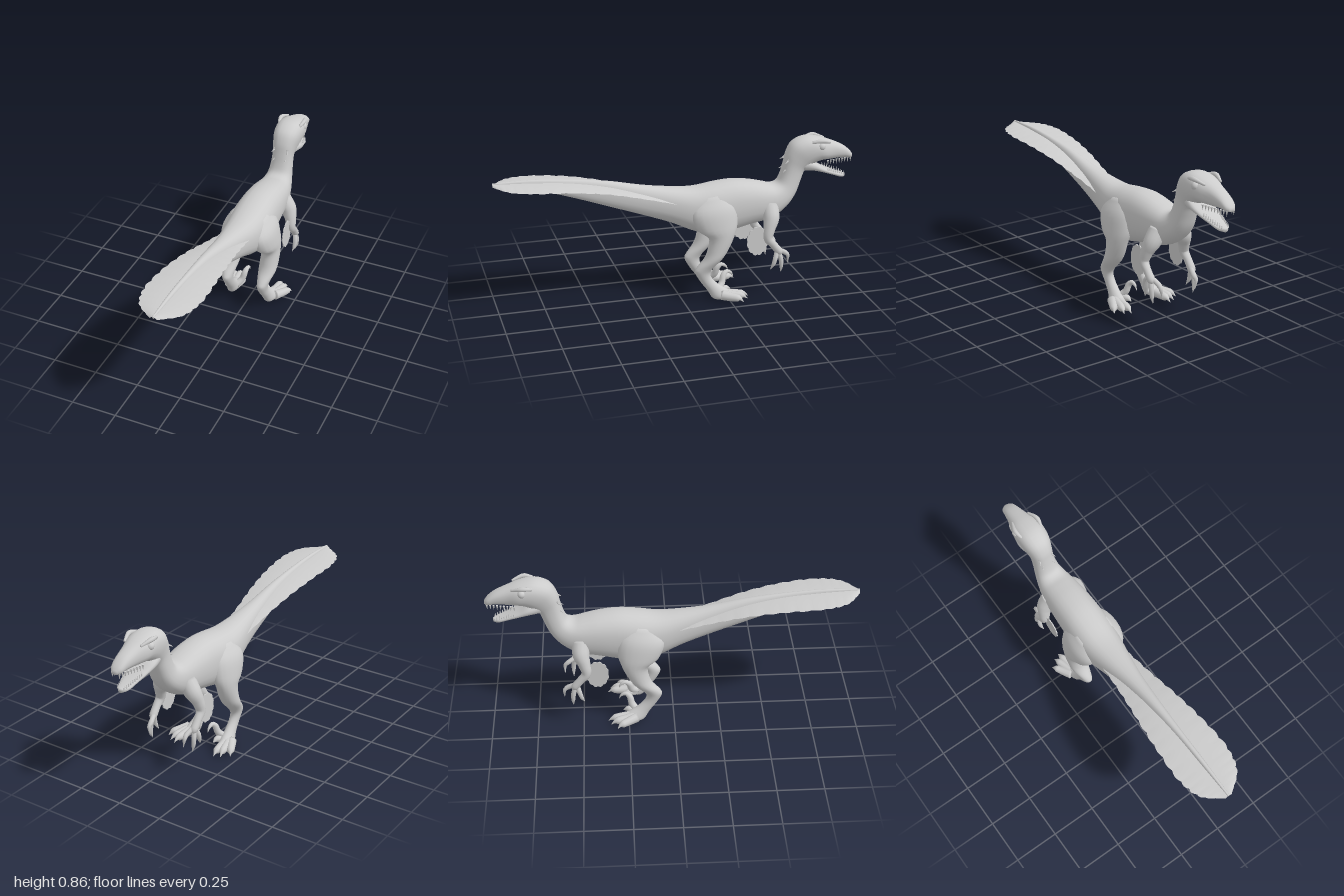
import * as THREE from 'three';

const V = (x, y, z) => new THREE.Vector3(x, y, z);
const hide = new THREE.MeshStandardMaterial({ color: 0xcccccc, side: THREE.DoubleSide });
hide.name = 'paleGreyHide';

// Closed smooth skin over a list of rings (arrays of points)
function skin(rings) {
  const n = rings[0].length, pos = [], idx = [];
  rings.forEach(r => r.forEach(p => pos.push(p.x, p.y, p.z)));
  for (let i = 0; i < rings.length - 1; i++) {
    for (let j = 0; j < n; j++) {
      const a = i * n + j, b = i * n + (j + 1) % n;
      idx.push(a, b, a + n, b, b + n, a + n);
    }
  }
  [0, rings.length - 1].forEach((i, end) => {
    const c = rings[i].reduce((s, p) => s.add(p), V(0, 0, 0)).divideScalar(n);
    const k = pos.length / 3;
    pos.push(c.x, c.y, c.z);
    for (let j = 0; j < n; j++) {
      const a = i * n + j, b = i * n + (j + 1) % n;
      if (end) idx.push(a, b, k); else idx.push(b, a, k);
    }
  });
  // Turn the faces outward when the enclosed volume comes out negative
  const at = i => V(pos[3 * i], pos[3 * i + 1], pos[3 * i + 2]);
  let volume = 0;
  for (let i = 0; i < idx.length; i += 3) volume += at(idx[i]).dot(at(idx[i + 1]).cross(at(idx[i + 2])));
  if (volume < 0) idx.reverse();
  const g = new THREE.BufferGeometry();
  g.setAttribute('position', new THREE.Float32BufferAttribute(pos, 3));
  g.setIndex(idx);
  g.computeVertexNormals();
  return g;
}

// Loft through rows [x, halfWidth, zA, yA, zB, yB]; A and B are opposite edges in profile
function loft(rows, power = 1, sides = 20, steps = 4) {
  const ca = new THREE.CatmullRomCurve3(rows.map(r => V(r[0], r[3], r[2])), false, 'catmullrom', 0.5);
  const cb = new THREE.CatmullRomCurve3(rows.map(r => V(r[1], r[5], r[4])), false, 'catmullrom', 0.5);
  const bend = v => Math.sign(v) * Math.abs(v) ** power;
  const rings = [], count = (rows.length - 1) * steps;
  for (let i = 0; i <= count; i++) {
    const a = ca.getPoint(i / count), b = cb.getPoint(i / count);
    rings.push(Array.from({ length: sides }, (_, j) => {
      const t = j / sides * Math.PI * 2, c = bend(Math.cos(t)), s = bend(Math.sin(t));
      return V(a.x + b.x * c, (a.y + b.y) / 2 + (a.y - b.y) / 2 * s, (a.z + b.z) / 2 + (a.z - b.z) / 2 * s);
    }));
  }
  return skin(rings);
}

// Tapering tube through points [x, y, z, radius], mirrored by side
function limb(points, side = 1, sides = 10) {
  const curve = new THREE.CatmullRomCurve3(points.map(p => V(side * p[0], p[1], p[2])), false, 'catmullrom', 0.5);
  const count = (points.length - 1) * 4, f = curve.computeFrenetFrames(count);
  const rings = [];
  for (let i = 0; i <= count; i++) {
    const u = curve.getUtoTmapping(i / count), k = Math.min(points.length - 2, Math.floor(u * (points.length - 1)));
    const r = THREE.MathUtils.lerp(points[k][3], points[k + 1][3], u * (points.length - 1) - k);
    const c = curve.getPoint(u);
    rings.push(Array.from({ length: sides }, (_, j) => {
      const t = j / sides * Math.PI * 2;
      return c.clone().addScaledVector(f.normals[i], r * Math.cos(t)).addScaledVector(f.binormals[i], r * Math.sin(t));
    }));
  }
  return skin(rings);
}

// Thin tail vane with a scalloped edge, following the tail
function tailFan() {
  const curve = new THREE.CatmullRomCurve3([
    V(.08, .565, 0), V(.1, .625, .2), V(.127, .68, .4), V(.149, .715, .6),
    V(.155, .732, .8), V(.118, .737, .92), V(.02, .74, 1)]);
  const pos = [], idx = [], n = 120, cols = 8;
  for (let i = 0; i <= n; i++) {
    const p = curve.getPoint(i / n);
    const w = p.x * (0.94 + 0.06 * Math.abs(Math.sin(i / n * Math.PI * 15)));
    for (let j = 0; j <= cols; j++) {
      const v = j / cols * 2 - 1;
      pos.push(v * w, p.y - 0.012 * v * v, p.z);
      if (i < n && j < cols) {
        const a = i * (cols + 1) + j, b = a + cols + 1;
        idx.push(a, b, a + 1, a + 1, b, b + 1);
      }
    }
  }
  const g = new THREE.BufferGeometry();
  g.setAttribute('position', new THREE.Float32BufferAttribute(pos, 3));
  g.setIndex(idx);
  g.computeVertexNormals();
  return g;
}

export function createModel() {
  const root = new THREE.Group();
  root.name = 'featheredDinosaur';
  const add = (geometry, name, parent = root) => {
    const m = new THREE.Mesh(geometry, hide);
    m.name = name;
    parent.add(m);
    return m;
  };
  const group = name => {
    const g = new THREE.Group();
    g.name = name;
    root.add(g);
    return g;
  };

  // Tail, trunk, neck and skull in one skin
  add(loft([
    [0, .006, 1, .745, 1, .73], [0, .014, .8, .746, .8, .695], [0, .022, .6, .731, .6, .635],
    [0, .035, .4, .705, .4, .565], [0, .055, .2, .662, .2, .495], [0, .08, .05, .638, .05, .44],
    [0, .105, -.08, .627, -.08, .38], [0, .118, -.2, .641, -.2, .347], [0, .115, -.3, .648, -.3, .365],
    [0, .11, -.4, .637, -.4, .388], [0, .1, -.48, .618, -.52, .412], [0, .085, -.53, .606, -.61, .47],
    [0, .07, -.565, .618, -.665, .54], [0, .062, -.585, .66, -.695, .615], [0, .06, -.6, .72, -.715, .665],
    [0, .066, -.615, .78, -.74, .685], [0, .076, -.65, .835, -.77, .705], [0, .08, -.72, .862, -.8, .718],
    [0, .076, -.8, .852, -.83, .722], [0, .055, -.87, .828, -.88, .722], [0, .042, -.94, .796, -.94, .724],
    [0, .033, -.98, .765, -.98, .72], [0, .014, -1, .74, -.998, .722]], 0.85, 24), 'bodyAndSkull');
  add(loft([
    [0, .055, -.68, .745, -.7, .67], [0, .07, -.76, .722, -.76, .668], [0, .06, -.82, .685, -.82, .652],
    [0, .045, -.88, .656, -.88, .63], [0, .034, -.93, .637, -.93, .612], [0, .012, -.962, .628, -.957, .607]],
  0.75), 'lowerJaw');
  add(tailFan(), 'tailFan');

  // Small quills down the nape
  const nape = group('napeQuills');
  [[.59, .64], [.597, .69], [.605, .74]].forEach(([z, y], i) => [-1, 1].forEach(s =>
    add(limb([[.02 + i * .008, y, -z - .012, .009], [.028 + i * .01, y - .015, -z + .012, .001]], s, 6), 'quill', nape)));

  for (const s of [-1, 1]) {
    const label = s > 0 ? 'left' : 'right';

    // Eye, brow and teeth
    const face = group(label + 'Face');
    const eye = add(new THREE.SphereGeometry(.022, 16, 12), 'eye', face);
    eye.position.set(s * .063, .812, -.795);
    add(limb([[.062, .838, -.74, .008], [.069, .845, -.79, .013], [.05, .828, -.85, .006]], s, 8), 'brow', face);
    for (let i = 0; i < 9; i++) {
      const t = i / 8;
      const x = s * THREE.MathUtils.lerp(.052, .022, t);
      const upper = add(new THREE.ConeGeometry(.006, .03, 6), 'upperTooth', face);
      upper.position.set(x, .712, -.84 - .145 * t);
      upper.rotation.x = Math.PI;
      const lower = add(new THREE.ConeGeometry(.005, .024, 6), 'lowerTooth', face);
      lower.position.set(x * .9, .676 - .04 * t, -.845 - .105 * t);
    }

    // Leg: thigh, shin, ankle and instep
    const leg = group(label + 'Leg');
    add(loft([
      [.06, .035, -.24, .6, -.1, .58], [.085, .06, -.295, .53, -.05, .5], [.1, .063, -.305, .44, -.08, .41],
      [.114, .051, -.285, .37, -.14, .36], [.113, .052, -.255, .3, -.135, .29], [.112, .05, -.22, .245, -.115, .24],
      [.108, .035, -.165, .185, -.077, .195], [.106, .029, -.152, .15, -.066, .165],
      [.105, .026, -.168, .115, -.095, .11], [.108, .028, -.205, .08, -.135, .055],
      [.115, .036, -.25, .052, -.17, .004], [.122, .034, -.275, .035, -.235, .003]].map(r => [s * r[0], ...r.slice(1)])),
    'legAndInstep', leg);
    // Toes with claws and the raised sickle claw
    [[.13, -.365], [.165, -.35], [.205, -.315]].forEach(([x, z]) => {
      const bx = .115 + (x - .13) * .35, at = (t, y, r) =>
        [THREE.MathUtils.lerp(bx, x, t), y, THREE.MathUtils.lerp(-.21, z, t), r];
      add(limb([at(0, .03, .028), at(.4, .025, .024), at(.75, .022, .02), at(.87, .018, .009), at(1, .004, .001)], s), 'toe', leg);
    });
    add(limb([[.095, .04, -.2, .02], [.07, .07, -.23, .019], [.058, .112, -.243, .017],
      [.052, .13, -.265, .012], [.05, .118, -.29, .007], [.05, .095, -.302, .001]], s), 'sickleClaw', leg);
    add(limb([[.095, .03, -.2, .02], [.075, .04, -.25, .019], [.07, .03, -.28, .002]], s), 'innerToe', leg);

    // Arm with three clawed fingers
    const arm = group(label + 'Arm');
    add(limb([[.06, .5, -.5, .05], [.1, .44, -.5, .046], [.12, .39, -.485, .034], [.13, .335, -.475, .026],
      [.133, .295, -.505, .021], [.132, .25, -.54, .022], [.13, .235, -.55, .012]], s, 14), 'upperAndForearm', arm);
    [[.142, .17, -.505, .148, -.49], [.138, .155, -.553, .125, -.553], [.115, .205, -.598, .165, -.6]]
      .forEach(([x, y, z, ty, tz]) => add(limb([[.13, .265, -.53, .013], [x, (y + .265) / 2, (z * 2 - .54) / 3, .014],
        [x, y + .01, z, .011], [x - .008, ty, tz, .001]], s, 8), 'finger', arm));

    // Scalloped feather vane behind the forearm
    const vane = new THREE.Shape(Array.from({ length: 60 }, (_, i) => {
      const t = i / 60 * Math.PI * 2, k = 0.92 + 0.08 * Math.abs(Math.sin(t * 6));
      return new THREE.Vector2(.415 + .062 * k * Math.cos(t), .322 + .085 * k * Math.sin(t));
    }));
    const plate = new THREE.ExtrudeGeometry(vane, { depth: .006, bevelEnabled: false });
    plate.rotateY(Math.PI / 2);
    plate.translate(s * .125 - .003, 0, 0);
    add(plate, 'armVane', arm);
  }
  return root;
}
